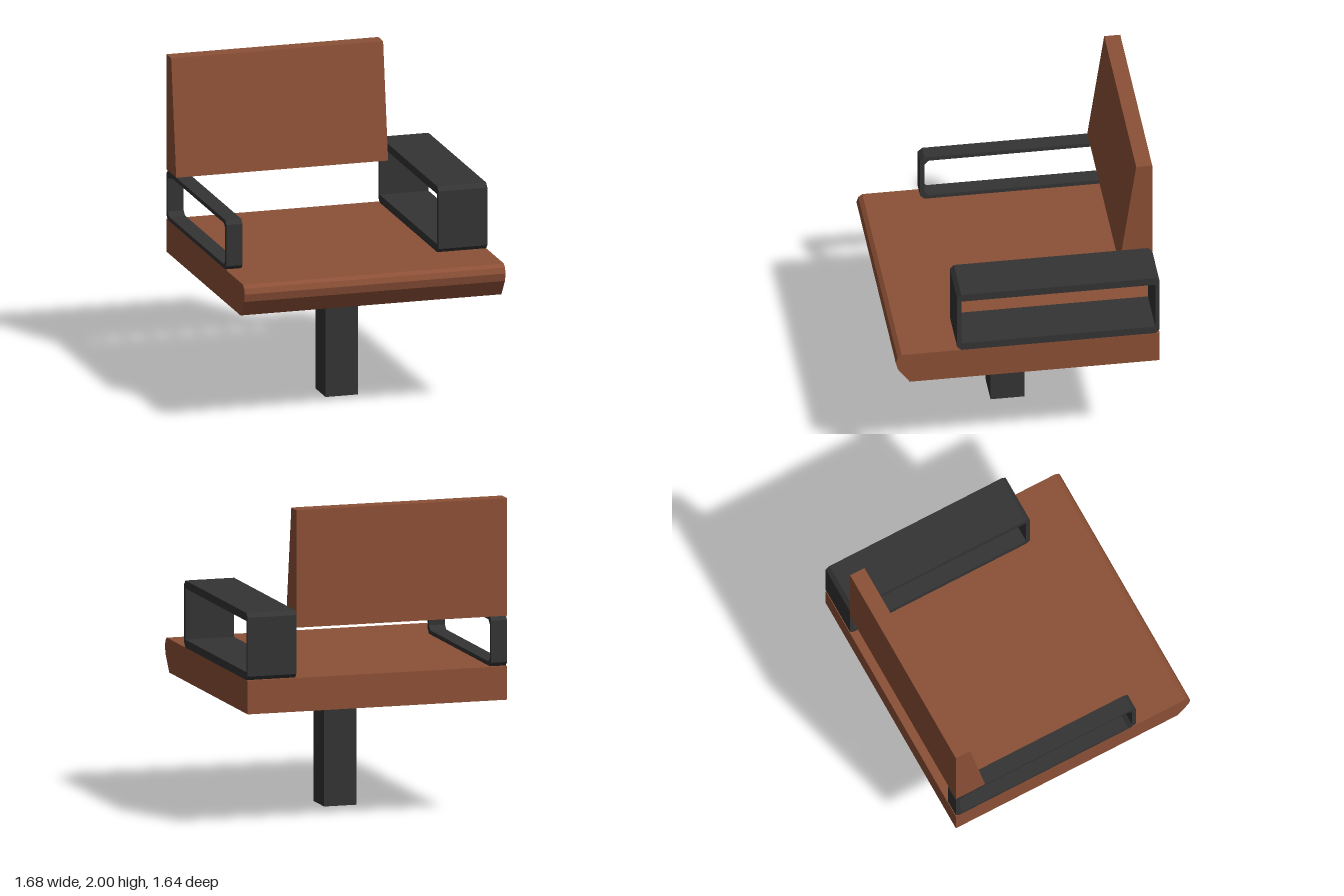
import * as THREE from 'three';

const leather = new THREE.MeshStandardMaterial({ name: 'brown leather', color: 0x8c5036 });
const metal = new THREE.MeshStandardMaterial({ name: 'dark metal', color: 0x343434 });

// Sweeps a side profile of [z, y] points from x0 to x1, with an optional hole.
function sideExtrude(name, material, x0, x1, outline, hole) {
  const toPoints = (list) => list.map(([z, y]) => new THREE.Vector2(z, y));
  const shape = new THREE.Shape(toPoints(outline));
  if (hole) shape.holes.push(new THREE.Path(toPoints(hole)));
  const geometry = new THREE.ExtrudeGeometry(shape, { depth: x1 - x0, bevelEnabled: false });
  geometry.rotateY(-Math.PI / 2).translate(x1, 0, 0);
  const mesh = new THREE.Mesh(geometry, material);
  mesh.name = name;
  return mesh;
}

// Rectangle in the z-y plane with its corners cut off by c.
function cutRect(z0, z1, y0, y1, c) {
  if (c === 0) return [[z0, y0], [z1, y0], [z1, y1], [z0, y1]];
  return [
    [z0 + c, y0], [z1 - c, y0], [z1, y0 + c], [z1, y1 - c],
    [z1 - c, y1], [z0 + c, y1], [z0, y1 - c], [z0, y0 + c],
  ];
}

// Closed loop armrest: rail is the thickness of its top and bottom bars.
function armrest(name, x0, x1, top, rail, innerCut) {
  const wall = 0.027;
  return sideExtrude(name, metal, x0, x1,
    cutRect(-0.82, 0.44, 0.95, top, 0.026),
    cutRect(-0.82 + wall, 0.44 - wall, 0.95 + rail, top - rail, innerCut));
}

export function createModel() {
  const model = new THREE.Group();
  model.name = 'chair';

  // Seat slab with a rolled front edge
  model.add(sideExtrude('seat', leather, -0.84, 0.84, [
    [-0.82, 0.74], [0.735, 0.74], [0.81, 0.845], [0.822, 0.895], [0.81, 0.93], [0.785, 0.95], [-0.82, 0.95],
  ]));

  // Wedge backrest, thinner at the top
  model.add(sideExtrude('backrest', leather, -0.84, 0.525, [
    [-0.82, 1.265], [-0.615, 1.265], [-0.72, 2], [-0.82, 2],
  ]));

  // Wide tall armrest on the left, slim low one on the right
  model.add(armrest('leftArmrest', 0.525, 0.84, 1.37, 0.05, 0));
  model.add(armrest('rightArmrest', -0.84, -0.737, 1.265, 0.026, 0.027));

  // Square support post
  const post = new THREE.Mesh(new THREE.BoxGeometry(0.21, 0.74, 0.21), metal);
  post.name = 'post';
  post.position.set(0, 0.37, 0.02);
  model.add(post);

  return model;
}
